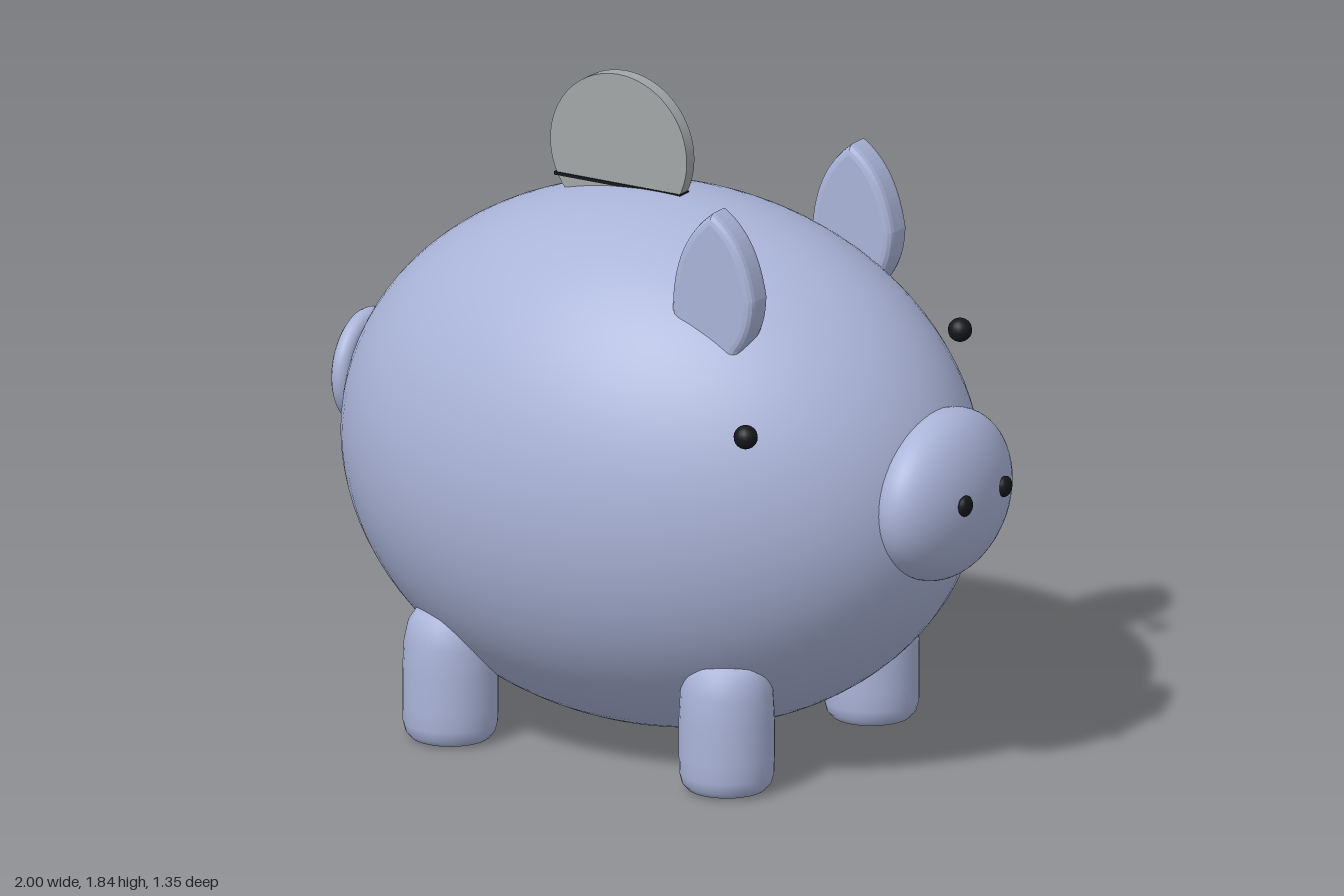
import * as THREE from 'three';

const mat = (name, color) => {
  const m = new THREE.MeshStandardMaterial({ color });
  m.name = name;
  return m;
};

export function createModel() {
  const group = new THREE.Group();
  const skin = mat('blueGreySkin', 0xaab4d8);
  const black = mat('black', 0x15171c);
  const silver = mat('coinGrey', 0xa3a6a8);

  const add = (name, geo, material, x, y, z) => {
    const mesh = new THREE.Mesh(geo, material);
    mesh.name = name;
    mesh.position.set(x, y, z);
    group.add(mesh);
    return mesh;
  };
  const ellipsoid = (rx, ry, rz, w = 48, h = 32) =>
    new THREE.SphereGeometry(1, w, h).scale(rx, ry, rz);

  // Body and snout
  add('body', ellipsoid(0.93, 0.745, 0.675, 72, 48), skin, -0.04, 0.78, 0);
  add('snout', ellipsoid(0.14, 0.235, 0.28), skin, 0.85, 0.81, 0);

  // Leg profile with rounded foot and top
  const legProfile = [[0, 0], [0.085, 0], [0.108, 0.006], [0.122, 0.022], [0.129, 0.05],
    [0.13, 0.1], [0.13, 0.2], [0.126, 0.28], [0.115, 0.33], [0.095, 0.36], [0.065, 0.37], [0, 0.372]]
    .map(([r, y]) => new THREE.Vector2(r, y));
  const legGeo = new THREE.LatheGeometry(legProfile, 32);

  // Leaf-shaped ear slab with bevelled rim
  const leaf = new THREE.Shape();
  leaf.moveTo(0.36, 1.63);
  leaf.bezierCurveTo(0.28, 1.57, 0.235, 1.48, 0.235, 1.34);
  leaf.lineTo(0.26, 1.2);
  leaf.lineTo(0.41, 1.18);
  leaf.lineTo(0.445, 1.25);
  leaf.bezierCurveTo(0.475, 1.29, 0.492, 1.34, 0.492, 1.4);
  leaf.bezierCurveTo(0.475, 1.5, 0.44, 1.58, 0.36, 1.63);
  const earGeo = new THREE.ExtrudeGeometry(leaf, {
    depth: 0.05, bevelEnabled: true, bevelThickness: 0.022, bevelSize: 0.022,
    bevelOffset: -0.022, bevelSegments: 3, curveSegments: 16,
  }).translate(0, 0, -0.025);

  // Mirrored parts
  for (const s of [1, -1]) {
    const side = s > 0 ? 'Near' : 'Far';
    add('frontLeg' + side, legGeo, skin, 0.395, 0, s * 0.375);
    add('backLeg' + side, legGeo, skin, -0.48, 0, s * 0.375);
    add('ear' + side, earGeo, skin, 0, 0, s * 0.36);
    add('eye' + side, ellipsoid(0.033, 0.033, 0.033, 16, 12), black, 0.565, 1.075, s * 0.555);
    add('nostril' + side, ellipsoid(0.016, 0.029, 0.029, 16, 12), black, 0.984, 0.825, s * 0.102);
  }

  // Curled tail: an open ring with rounded ends
  const points = [];
  for (let i = 0; i <= 32; i++) {
    const a = THREE.MathUtils.degToRad(115 - 325 * i / 32);
    points.push(new THREE.Vector3(0, Math.sin(a) * 0.134, Math.cos(a) * 0.134));
  }
  const tail = add('tail', new THREE.TubeGeometry(new THREE.CatmullRomCurve3(points), 64, 0.027, 14),
    skin, -0.973, 0.87, 0);
  for (const p of [points[0], points[32]]) {
    const cap = new THREE.Mesh(new THREE.SphereGeometry(0.027, 14, 10), skin);
    cap.name = 'tailEnd';
    cap.position.copy(p);
    tail.add(cap);
  }

  // Coin standing in the slot
  add('coin', new THREE.CylinderGeometry(0.216, 0.216, 0.04, 64).rotateX(Math.PI / 2),
    silver, -0.165, 1.619, 0);
  add('slot', new THREE.BoxGeometry(0.4, 0.009, 0.046), black, -0.168, 1.522, 0);

  return group;
}
